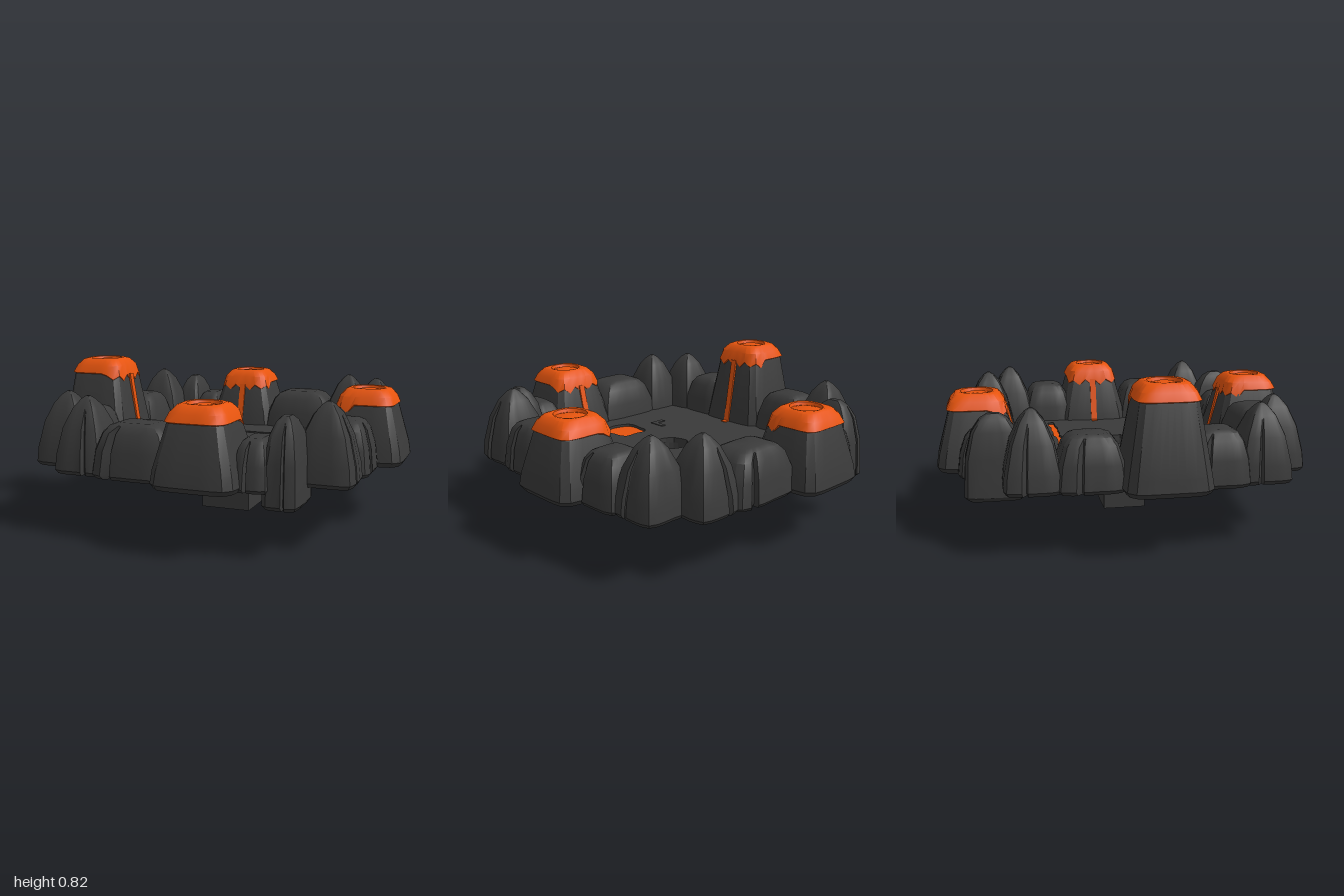
import * as THREE from 'three';
import { toCreasedNormals } from 'three/addons/utils/BufferGeometryUtils.js';

const rock = new THREE.MeshStandardMaterial({ color: 0x3a3a3a });
rock.name = 'darkRock';
const lava = new THREE.MeshStandardMaterial({ color: 0xe6540e });
lava.name = 'orangeLava';

let seed = 7;
const rand = () => (seed = (seed * 16807) % 2147483647) / 2147483647 - 0.5;

function mesh(name, geo, mat, parent, y = 0) {
  const m = new THREE.Mesh(geo, mat);
  m.name = name;
  m.position.y = y;
  parent.add(m);
  return m;
}

// Skin a stack of rings and close both ends
function loft(rings) {
  const n = rings[0].length, pos = [], idx = [];
  rings.forEach((r) => r.forEach((p) => pos.push(p.x, p.y, p.z)));
  const centre = (r) => {
    const c = new THREE.Vector3();
    r.forEach((p) => c.addScaledVector(p, 1 / n));
    pos.push(c.x, c.y, c.z);
    return pos.length / 3 - 1;
  };
  const last = (rings.length - 1) * n;
  const bottom = centre(rings[0]), top = centre(rings[rings.length - 1]);
  for (let i = 0; i < n; i++) {
    const j = (i + 1) % n;
    for (let k = 0; k < last; k += n) {
      idx.push(k + i, k + n + i, k + j, k + n + i, k + n + j, k + j);
    }
    idx.push(bottom, i, j, top, last + j, last + i);
  }
  const g = new THREE.BufferGeometry();
  g.setAttribute('position', new THREE.Float32BufferAttribute(pos, 3));
  g.setIndex(idx);
  return toCreasedNormals(g, 0.55);
}

// Rounded rectangle ring in polar form
const corner = (a, n) => 1 / Math.pow(Math.abs(Math.cos(a)) ** n + Math.abs(Math.sin(a)) ** n, 1 / n);
function ring(angles, hx, hz, y, n = 6, tweak = () => ({})) {
  return angles.map((a, i) => {
    const { r = 1, dy = 0 } = tweak(a, i);
    const k = corner(a, n) * r;
    return new THREE.Vector3(Math.cos(a) * k * hx, y + dy, Math.sin(a) * k * hz);
  });
}
const evenAngles = (n) => Array.from({ length: n }, (_, i) => ((i + 0.5) / n) * Math.PI * 2);

const profiles = {
  peak: [[0, 0.92], [0.05, 1], [0.25, 0.95], [0.6, 0.74], [0.85, 0.44], [0.96, 0.2], [1, 0.06]],
  broad: [[0, 0.92], [0.07, 1], [0.5, 0.92], [0.82, 0.76], [0.95, 0.6], [1, 0.42]],
  slab: [[0, 0.85], [0.05, 1], [0.5, 0.93], [0.8, 0.72], [0.94, 0.45], [1, 0.2]],
};

// Boulder filling a box, with a vertical crevice cut at one angle
function boulder(parent, [kind, x0, x1, z0, z1, y0, y1, cut]) {
  const angles = [...evenAngles(28)].filter((a) => Math.abs(a - cut) > 0.13);
  angles.push(cut - 0.09, cut, cut + 0.09);
  angles.sort((a, b) => a - b);
  const wob = angles.map(() => 1 + rand() * 0.03);
  const rings = profiles[kind].map(([t, s]) =>
    ring(angles, ((x1 - x0) / 2) * s, ((z1 - z0) / 2) * s, y0 + (y1 - y0) * t, 6,
      (a, i) => ({ r: a === cut && t < 0.84 ? 0.8 : wob[i] })));
  const m = mesh(kind + 'Rock', loft(rings), rock, parent);
  m.position.set((x0 + x1) / 2, 0, (z0 + z1) / 2);
}

// Volcano whose inner side faces local +z
function volcano(parent, x, z, turn, h) {
  const g = new THREE.Group();
  g.name = 'volcano';
  g.position.set(x, 0, z);
  g.rotation.y = turn;
  parent.add(g);
  const angles = evenAngles(32);
  const cone = [[0.31, 0.2], [0.335, 0.215], [0.4, 0.205], [h - 0.09, 0.148], [h - 0.04, 0.12]];
  mesh('cone', loft(cone.map(([y, r]) => ring(angles, r, r, y))), rock, g);

  // Cap drips over the inner side
  const drip = (a, i) => ({ dy: Math.sin(a) > 0.4 ? [-0.035, -0.01, -0.045, -0.015][i % 4] : 0, r: 1 + rand() * 0.02 });
  const cap = [
    ring(angles, 0.148, 0.148, h - 0.085, 6, drip),
    ring(angles, 0.157, 0.157, h - 0.08, 6, drip),
    ring(angles, 0.14, 0.14, h - 0.04, 5),
    ring(angles, 0.112, 0.112, h - 0.007, 4),
    ring(angles, 0.096, 0.096, h, 2.5),
    ring(angles, 0.084, 0.084, h - 0.002, 2),
    ring(angles, 0.078, 0.078, h - 0.018, 2),
    ring(angles, 0.04, 0.04, h - 0.008, 2),
  ];
  mesh('lavaCap', loft(cap), lava, g);

  // Stream running down the inner face
  const yTop = h - 0.09, len = Math.hypot(yTop - 0.35, 0.06);
  const s = mesh('lavaStream', new THREE.BoxGeometry(0.035, len, 0.016), lava, g, (yTop + 0.35) / 2);
  s.position.z = 0.182;
  s.rotation.x = -Math.atan2(0.06, yTop - 0.35);
  const foot = mesh('streamFoot', new THREE.BoxGeometry(0.035, 0.04, 0.06), lava, g, 0.345);
  foot.position.z = 0.215;
}

// Flat slab from an outline in x, z with its top at y
function slab(outline, holes, depth) {
  const s = new THREE.Shape(outline);
  s.holes = holes.map((h) => new THREE.Path(h));
  return new THREE.ExtrudeGeometry(s, { depth, bevelEnabled: false }).rotateX(Math.PI / 2);
}
const v = (x, z) => new THREE.Vector2(x, z);
const rect = (x0, x1, z0, z1) => [v(x0, z0), v(x1, z0), v(x1, z1), v(x0, z1)];
const blob = (cx, cz, r, n, fn = () => 1) => evenAngles(n).map((a) =>
  v(cx + Math.cos(a) * r * fn(a), cz + Math.sin(a) * r * fn(a)));

// Ribbon of even width along a path
function ribbon(path, w) {
  const side = (sgn) => path.map((p, i) => {
    const a = path[Math.max(i - 1, 0)], b = path[Math.min(i + 1, path.length - 1)];
    const d = b.clone().sub(a).normalize();
    return v(p.x - d.y * w * sgn / 2, p.y + d.x * w * sgn / 2);
  });
  return [...side(1), ...side(-1).reverse()];
}

export function createModel() {
  const model = new THREE.Group();
  model.name = 'volcanoArena';

  // Floor with openings for the vent, pool and channel
  const channel = [[-0.19, -0.575], [-0.19, -0.46], [-0.185, -0.37], [-0.15, -0.335], [-0.08, -0.34], [-0.02, -0.33],
    [0.05, -0.325], [0.12, -0.33], [0.17, -0.345], [0.22, -0.335], [0.3, -0.34], [0.36, -0.335], [0.42, -0.345], [0.5, -0.345]]
    .map(([x, z]) => v(x, z));
  const poolShape = (r) => blob(0.035, 0.375, r, 24, (a) => corner(a, 4) * (1 + 0.05 * Math.sin(5 * a)));
  const vent = blob(0.01, 0, 0.1, 14, (a) => 1 + 0.03 * Math.sin(6 * a));
  mesh('floor', slab(rect(-0.6, 0.6, -0.6, 0.6), [ribbon(channel, 0.036), poolShape(0.1), vent], 0.03), rock, model, 0.36);
  mesh('lavaChannel', slab(ribbon(channel, 0.044), [], 0.03), lava, model, 0.348);
  mesh('lavaPool', slab(poolShape(0.106), [], 0.03), lava, model, 0.345);
  mesh('floorChip', slab([v(-0.26, 0.34), v(-0.2, 0.34), v(-0.2, 0.27), v(-0.17, 0.27), v(-0.17, 0.37), v(-0.26, 0.37)], [], 0.01),
    rock, model, 0.364);

  // Vent shaft below the floor
  mesh('ventShaft', slab(rect(-0.14, 0.14, -0.11, 0.12), [blob(0.01, 0.005, 0.102, 24)], 0.34), rock, model, 0.34);
  mesh('ventLava', slab(blob(0.005, 0.005, 0.145, 32), [], 0.009), lava, model, 0.205);

  // Half of the boulder wall, repeated by a half turn
  const E = Math.PI / 2;
  const half = [
    ['peak', 0.55, 0.84, -0.72, -0.44, 0.31, 0.69, 0.25],
    ['broad', 0.56, 0.87, -0.5, -0.2, 0.31, 0.58, 0.5],
    ['broad', 0.56, 0.86, 0.1, 0.44, 0.31, 0.58, 0.35],
    ['peak', 0.54, 0.84, 0.4, 0.68, 0.31, 0.7, 0.3],
    ['slab', 0.45, 0.63, 0.56, 0.86, 0.23, 0.65, E - 0.25],
    ['broad', 0.32, 0.5, 0.57, 0.89, 0.31, 0.55, E + 0.2],
    ['broad', -0.42, 0.02, 0.57, 0.89, 0.31, 0.58, E + 0.5],
    ['peak', -0.64, -0.36, 0.57, 0.86, 0.31, 0.69, E - 0.3],
  ];
  for (const turn of [0, Math.PI]) {
    const wall = new THREE.Group();
    wall.name = turn ? 'backLeftWall' : 'frontRightWall';
    wall.rotation.y = turn;
    half.forEach((b) => boulder(wall, b));
    model.add(wall);
  }

  volcano(model, -0.755, 0.08, E, 0.825);
  volcano(model, 0.755, -0.065, -E, 0.7);
  volcano(model, -0.175, -0.785, 0, 0.7);
  volcano(model, 0.16, 0.78, Math.PI, 0.7);
  return model;
}
